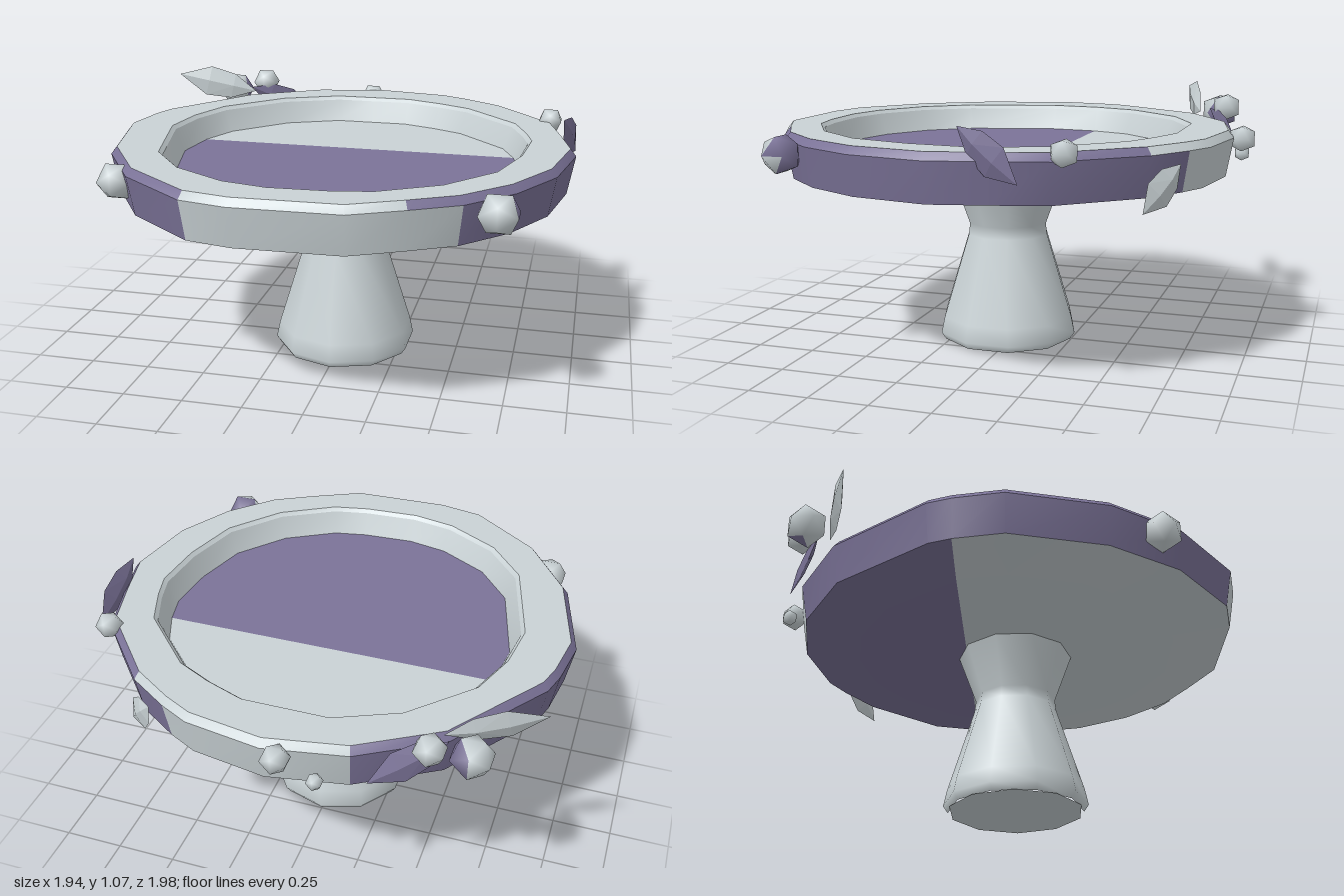
import * as THREE from 'three';
import { ConvexGeometry } from 'three/addons/geometries/ConvexGeometry.js';

const SPLIT = -0.17; // z of the straight colour line across the dish
const CZ = 0.04;     // z of the dish centre

// Uneven dish outline: outer x, outer z, opening x, opening z
const OUTLINE = [
  [-0.01, -0.92, -0.03, -0.70], [0.30, -0.87, 0.14, -0.70], [0.42, -0.81, 0.30, -0.64],
  [0.59, -0.70, 0.44, -0.57], [0.85, -0.40, 0.67, -0.33], [0.91, SPLIT, 0.73, SPLIT],
  [0.96, 0.04, 0.76, -0.05], [0.90, 0.36, 0.74, 0.18], [0.77, 0.60, 0.67, 0.43],
  [0.60, 0.78, 0.50, 0.64], [0.42, 0.88, 0.28, 0.77], [0.22, 0.98, 0.13, 0.80],
  [-0.20, 0.99, -0.10, 0.81], [-0.39, 0.95, -0.28, 0.77], [-0.69, 0.72, -0.50, 0.64],
  [-0.88, 0.43, -0.65, 0.45], [-0.98, 0.03, -0.755, 0.04], [-0.95, SPLIT, -0.73, SPLIT],
  [-0.92, -0.27, -0.66, -0.36], [-0.64, -0.67, -0.44, -0.59], [-0.33, -0.86, -0.20, -0.70],
];
const N = OUTLINE.length;
const RIGHT = 5, LEFT = 17; // outline points lying on the colour line

export function createModel() {
  const stone = new THREE.MeshStandardMaterial({ color: 0xc9d2d5 });
  stone.name = 'paleStone';
  const purple = new THREE.MeshStandardMaterial({ color: 0x7b7398 });
  purple.name = 'mutedPurple';
  const mats = [stone, purple];

  const model = new THREE.Group();
  model.name = 'pedestalDish';
  const add = (name, geo, mat, parent = model) => {
    const mesh = new THREE.Mesh(geo, mat);
    mesh.name = name;
    parent.add(mesh);
    return mesh;
  };

  // A ring of the dish, scaled about its centre; points on the colour line stay on it
  const ring = (col, k, y) => OUTLINE.map(p => {
    const z = p[col + 1];
    return [p[col] * k, y, z === SPLIT ? z : CZ + (z - CZ) * k];
  });

  // Smooth strip between two rings, coloured per quad
  const band = (name, a, b, isPurple = () => false) => {
    const geo = new THREE.BufferGeometry();
    geo.setAttribute('position', new THREE.Float32BufferAttribute([...a, ...b].flat(), 3));
    const index = [];
    for (let i = 0; i < N; i++) {
      const j = (i + 1) % N;
      index.push(i, j, N + j, i, N + j, N + i);
      geo.addGroup(i * 6, 6, isPurple(i) ? 1 : 0);
    }
    geo.setIndex(index);
    geo.computeVertexNormals();
    return add(name, geo, mats, dish);
  };

  // Flat half of a ring, facing up or down
  const half = (name, pts, up, mat) => {
    const s = up ? -1 : 1;
    const geo = new THREE.ShapeGeometry(new THREE.Shape(pts.map(p => new THREE.Vector2(p[0], s * p[2]))));
    geo.rotateX(s * Math.PI / 2);
    geo.translate(0, pts[0][1], 0);
    add(name, geo, mat, dish);
  };
  const frontHalf = r => r.slice(RIGHT, LEFT + 1);
  const backHalf = r => [...r.slice(LEFT), ...r.slice(0, RIGHT + 1)];

  // Dish
  const dish = new THREE.Group();
  dish.name = 'dish';
  model.add(dish);
  const floor = ring(2, 0.95, 0.83), lip = ring(2, 1, 0.925), lipTop = ring(2, 1.02, 0.94);
  const topEdge = ring(0, 0.975, 0.94), widest = ring(0, 1, 0.91);
  const lower = ring(0, 0.97, 0.75), under = ring(0, 0.72, 0.718);
  band('innerWall', floor, lip);
  band('innerLip', lip, lipTop);
  band('rimTop', lipTop, topEdge);
  band('rimBevel', topEdge, widest, i => (i >= 3 && i < 10) || (i >= 13 && i < 20));
  band('rimSide', widest, lower, i => (i >= 2 && i < 9) || (i >= 13 && i < 20));
  band('underSlope', lower, under, i => i < RIGHT || i >= LEFT);
  half('floorFront', frontHalf(floor), true, purple);
  half('floorBack', backHalf(floor), true, stone);
  half('undersideFront', frontHalf(under), false, stone);
  half('undersideBack', backHalf(under), false, purple);

  // Pedestal with a narrow waist
  const profile = [[0.285, 0], [0.305, 0.03], [0.29, 0.1], [0.178, 0.46], [0.172, 0.51], [0.25, 0.725]];
  const stem = add('pedestal', new THREE.LatheGeometry(profile.map(p => new THREE.Vector2(...p)), 10), stone);
  stem.position.set(0.005, 0, CZ);
  const foot = add('pedestalFoot', new THREE.CircleGeometry(0.285, 10), stone);
  foot.rotation.x = Math.PI / 2;
  foot.position.set(0.005, 0, CZ);

  // Berries; faces turned towards "tint" are purple
  const berry = (x, y, z, r, tint) => {
    const geo = new THREE.IcosahedronGeometry(r, 0);
    const p = geo.attributes.position, n = geo.attributes.normal, v = new THREE.Vector3();
    for (let f = 0; f < p.count; f += 3) {
      const mid = new THREE.Vector3();
      for (let k = f; k < f + 3; k++) {
        mid.add(v.fromBufferAttribute(p, k));
        v.normalize();
        n.setXYZ(k, v.x, v.y, v.z);
      }
      geo.addGroup(f, 3, tint && mid.normalize().dot(tint) > 0.4 ? 1 : 0);
    }
    add('berry', geo, mats).position.set(x, y, z);
  };
  berry(-0.77, 0.86, 0.63, 0.08);
  berry(0.72, 0.87, 0.73, 0.085, new THREE.Vector3(0.45, 0.35, -0.82));
  berry(-0.60, 0.975, -0.81, 0.065);
  berry(-0.74, 0.94, -0.76, 0.085, new THREE.Vector3(0.8, -0.3, -0.5));
  berry(-0.08, 0.90, -0.945, 0.058);
  berry(-0.22, 0.82, -0.93, 0.034);
  berry(0.83, 0.94, -0.44, 0.056);

  // Leaves: thin lens shapes from base to tip, spread along a side direction
  const leaf = (base, tip, side, width, mat) => {
    const a = new THREE.Vector3(...base), b = new THREE.Vector3(...tip);
    const along = b.clone().sub(a).normalize();
    const s = new THREE.Vector3(...side);
    s.addScaledVector(along, -s.dot(along)).normalize();
    const n = along.clone().cross(s);
    const pts = [a, b];
    for (const [t, w] of [[0.3, 0.42], [0.62, 0.5]]) {
      for (const d of [-1, 1]) {
        const c = a.clone().lerp(b, t);
        pts.push(c.clone().addScaledVector(s, d * w * width), c.clone().addScaledVector(n, d * 0.016));
      }
    }
    add('leaf', new ConvexGeometry(pts), mat);
  };
  leaf([-0.62, 0.95, -0.69], [-0.97, 1.04, -0.58], [0, 1, -0.2], 0.14, stone);
  leaf([-0.65, 0.96, -0.73], [-0.40, 0.83, -0.89], [0.1, 1, 0.2], 0.13, purple);
  leaf([0.90, 1.03, -0.07], [0.95, 0.84, -0.31], [0.3, 1, -0.8], 0.14, purple);
  leaf([0.49, 0.87, -0.79], [0.63, 0.70, -0.68], [1, 0.3, 0.8], 0.13, stone);

  return model;
}
